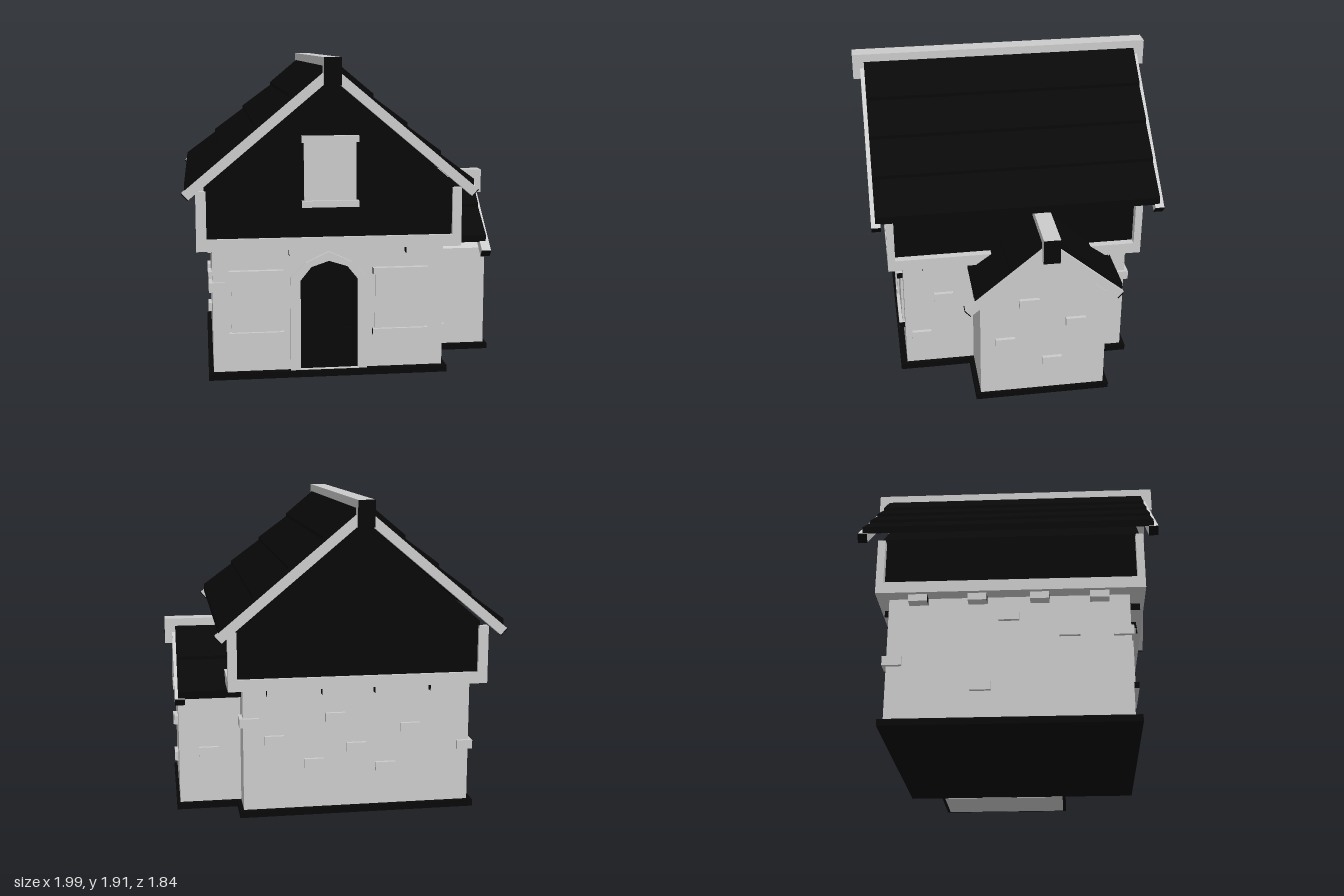
import * as THREE from 'three';

const grey = new THREE.MeshStandardMaterial({ color: 0xcccccc });
const dark = new THREE.MeshStandardMaterial({ color: 0x080808 });
// Face order: +x, -x, +y, -y, +z, -z
const darkX = [dark, dark, grey, grey, grey, grey];
const darkZ = [grey, grey, grey, grey, dark, dark];

function box(parent, name, [x0, x1], [y0, y1], [z0, z1], mat = grey) {
  const mesh = new THREE.Mesh(new THREE.BoxGeometry(x1 - x0, y1 - y0, z1 - z0), mat);
  mesh.position.set((x0 + x1) / 2, (y0 + y1) / 2, (z0 + z1) / 2);
  mesh.name = name;
  parent.add(mesh);
  return mesh;
}

function prism(parent, name, points, z0, z1, mat = grey, hole) {
  const shape = new THREE.Shape(points.map(p => new THREE.Vector2(...p)));
  if (hole) shape.holes.push(new THREE.Path(hole.map(p => new THREE.Vector2(...p))));
  const geo = new THREE.ExtrudeGeometry(shape, { depth: z1 - z0, bevelEnabled: false });
  geo.translate(0, 0, z0);
  const mesh = new THREE.Mesh(geo, mat);
  mesh.name = name;
  parent.add(mesh);
  return mesh;
}

// Gable roof with its apex at the origin and its ridge along z
const PITCH = 0.835;
function gableRoof(name, { steps, z, bargeZ, reach, ridgeZ, ridgeY }) {
  const roof = new THREE.Group();
  roof.name = name;
  for (const s of [-1, 1]) {
    const at = (d, lift) => [s * d, -PITCH * d + lift];
    for (let i = 0; i + 1 < steps.length; i++) {
      const [a, b] = [steps[i], steps[i + 1]];
      prism(roof, 'roofPlank', [at(a, i ? 0.02 : 0.04), at(b, 0.04), at(b, -0.005), at(a, -0.025)], z[0], z[1], dark);
    }
    const d = reach[s < 0 ? 0 : 1];
    for (const [b0, b1] of bargeZ) {
      prism(roof, 'bargeBoard', [at(0, 0), at(d, 0), at(d - 0.036, -0.07), at(0, -0.07)], b0, b1);
      prism(roof, 'bargeBoardEnd', [at(d, 0), at(d + 0.004, -0.001), at(d - 0.032, -0.071), at(d - 0.036, -0.07)], b0, b1, dark);
    }
  }
  box(roof, 'ridgeBeam', [-0.05, 0.05], ridgeY, ridgeZ, darkZ);
  return roof;
}

// Block on a wall: along the wall it is w wide, out is the wall's face and side its direction
function wallBlock(parent, name, axis, face, side, along, y, w = 0.12, h = 0.055, out = 0.022, mat = grey) {
  const across = [Math.min(face - side * 0.02, face + side * out), Math.max(face - side * 0.02, face + side * out)];
  const span = [along - w / 2, along + w / 2], tall = [y - h / 2, y + h / 2];
  if (axis === 'x') box(parent, name, across, tall, span, mat);
  else box(parent, name, span, tall, across, mat);
}

// Panelled window with a bar above and below
function shutter(parent, name, x, y, w, h, z) {
  const g = new THREE.Group();
  g.name = name;
  box(g, 'windowPanel', [x - w / 2, x + w / 2], [y - h / 2, y + h / 2], [z - 0.03, z + 0.015]);
  for (const s of [-1, 1]) {
    const cy = y + s * (h / 2 - 0.018);
    box(g, 'windowBar', [x - w / 2 - 0.015, x + w / 2 + 0.015], [cy - 0.019, cy + 0.019], [z - 0.02, z + 0.035], darkX);
  }
  parent.add(g);
}

export function createModel() {
  const house = new THREE.Group();
  house.name = 'house';
  const CX = -0.14;

  // Ground floor and plinths
  box(house, 'plinth', [-0.86, 0.58], [0, 0.04], [-0.73, 0.74], dark);
  box(house, 'lowerWalls', [-0.83, 0.555], [0.04, 0.8], [-0.7, 0.7]);
  box(house, 'annexPlinth', [0.57, 0.95], [0.003, 0.04], [-0.53, 0.3], dark);
  box(house, 'annexFloor', [0.59, 0.93], [0, 0.02], [-0.51, 0.28]);

  // Annex walls with gable
  const annex = prism(house, 'annexWalls',
    [[0.5, 0.04], [0.5, 0.71], [0.145, 1.02], [-0.27, 0.67], [-0.27, 0.04]], 0.54, 0.93);
  annex.rotation.y = Math.PI / 2;

  // Upper floor panels
  prism(house, 'upperWalls',
    [[-0.87, 0.8], [0.6, 0.8], [0.6, 1.17], [CX, 1.79], [-0.87, 1.17]], -0.75, 0.77, dark);

  // Timber frame around the upper floor
  for (const [x0, x1] of [[-0.92, -0.86], [0.59, 0.645]]) {
    box(house, 'sideBeam', [x0, x1], [0.79, 0.86], [-0.77, 0.79]);
    for (const z of [[0.745, 0.79], [-0.77, -0.725]]) box(house, 'cornerPost', [x0, x1], [0.79, 1.14], z);
  }
  for (const z of [[0.74, 0.79], [-0.77, -0.72]]) box(house, 'endBeam', [-0.92, 0.645], [0.79, 0.86], z);
  box(house, 'upperFloor', [-0.9, 0.63], [0.79, 0.83], [-0.75, 0.77]);

  // Brackets under the overhang
  for (const x of [-0.655, -0.325, 0.375]) wallBlock(house, 'bracket', 'z', 0.7, 1, x, 0.77, 0.11, 0.045, 0.065, darkX);
  for (const x of [-0.63, -0.29, 0.03, 0.36]) wallBlock(house, 'bracket', 'z', -0.7, -1, x, 0.77, 0.11, 0.045, 0.05, darkX);
  for (const z of [-0.525, -0.18, 0.18, 0.525]) {
    wallBlock(house, 'bracket', 'x', -0.83, -1, z, 0.77, 0.11, 0.045, 0.065, darkZ);
    if (Math.abs(z) > 0.5) wallBlock(house, 'bracket', 'x', 0.555, 1, z, 0.77, 0.11, 0.045, 0.065, darkZ);
  }

  // Main roof and annex roof
  const mainRoof = gableRoof('mainRoof', {
    steps: [0, 0.24, 0.44, 0.64, 0.84], z: [-0.855, 0.85],
    bargeZ: [[0.82, 0.875], [-0.88, -0.825]], reach: [0.855, 0.86],
    ridgeZ: [-0.92, 0.92], ridgeY: [-0.11, 0.047],
  });
  mainRoof.position.set(CX, 1.86, 0);
  const annexRoof = gableRoof('annexRoof', {
    steps: [0, 0.24, 0.445], z: [0.555, 0.93], bargeZ: [[0.89, 0.95]],
    reach: [0.505, 0.45], ridgeZ: [0.58, 0.995], ridgeY: [-0.11, 0.045],
  });
  annexRoof.rotation.y = Math.PI / 2;
  annexRoof.position.set(0, 1.09, -0.145);
  house.add(mainRoof, annexRoof);

  // Arched doorway
  const outer = [[-0.37, 0.04], [0.09, 0.04], [0.09, 0.605], [0, 0.695], [CX, 0.76], [-0.28, 0.695], [-0.37, 0.605]];
  const inner = [[-0.31, 0.045], [0.035, 0.045], [0.035, 0.59], [-0.03, 0.67], [CX, 0.705], [-0.245, 0.67], [-0.31, 0.59]];
  prism(house, 'doorSurround', outer, 0.68, 0.725, grey, inner);
  prism(house, 'door', inner, 0.68, 0.705, dark);
  box(house, 'doorHandle', [-0.04, 0], [0.26, 0.29], [0.7, 0.72], dark);

  // Shuttered windows
  shutter(house, 'leftWindow', 0.293, 0.45, 0.305, 0.41, 0.7);
  shutter(house, 'rightWindow', -0.573, 0.45, 0.295, 0.41, 0.7);
  shutter(house, 'gableWindow', CX, 1.248, 0.305, 0.414, 0.775);

  // Raised stones: wall axis, face, direction, then [along, height] pairs
  const stones = [
    ['z', -0.7, -1, [[0.37, 0.47], [0, 0.6], [0.13, 0.32], [-0.13, 0.41], [-0.46, 0.52], [-0.31, 0.28]]],
    ['x', -0.83, -1, [[0, 0.665], [0.35, 0.56], [-0.16, 0.235]]],
    ['x', 0.555, 1, [[0.455, 0.525], [0.6, 0.25]]],
    ['x', 0.93, 1, [[-0.025, 0.68], [-0.31, 0.525], [0.12, 0.41], [-0.17, 0.25]]],
    ['z', -0.5, -1, [[0.75, 0.36]]],
  ];
  for (const [axis, face, side, spots] of stones)
    for (const [a, y] of spots) wallBlock(house, 'raisedStone', axis, face, side, a, y);

  // Stones wrapping the corners
  box(house, 'cornerStone', [-0.852, -0.755], [0.53, 0.587], [0.6, 0.715]);
  box(house, 'cornerStone', [-0.852, -0.755], [0.367, 0.422], [-0.722, -0.61]);
  box(house, 'cornerStone', [0.46, 0.577], [0.555, 0.61], [-0.722, -0.6]);
  return house;
}
